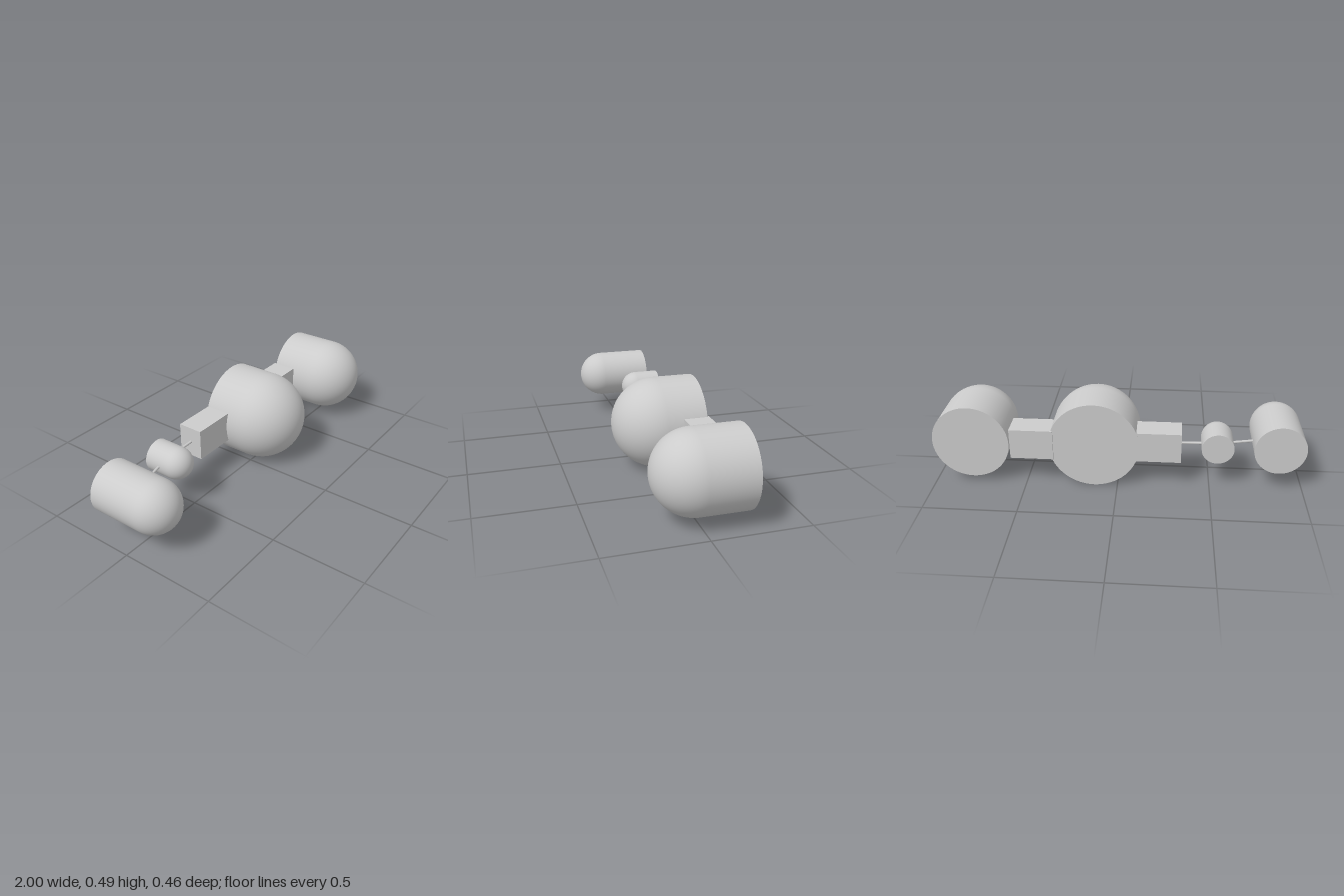
import * as THREE from 'three';

const AXIS_Y = 0.245;

export function createModel() {
  const group = new THREE.Group();
  const material = new THREE.MeshStandardMaterial({ color: 0xcccccc });

  const add = (name, geometry) => {
    const mesh = new THREE.Mesh(geometry, material);
    mesh.name = name;
    group.add(mesh);
    return mesh;
  };

  // Round-nosed tank: hemisphere facing +z, straight wall, flat back disc
  const addTank = (name, x, r, back, front) => {
    const centre = front - r;
    const tank = new THREE.Group();
    tank.name = name;
    const nose = new THREE.Mesh(
      new THREE.SphereGeometry(r, 64, 20, 0, Math.PI * 2, 0, Math.PI / 2), material);
    nose.name = name + 'Nose';
    const length = centre - back;
    const wall = new THREE.Mesh(new THREE.CylinderGeometry(r, r, length, 64, 1, true), material);
    wall.name = name + 'Wall';
    wall.position.y = -length / 2;
    const end = new THREE.Mesh(new THREE.CircleGeometry(r, 64), material);
    end.name = name + 'Back';
    end.rotation.x = Math.PI / 2;
    end.position.y = -length;
    tank.add(nose, wall, end);
    tank.rotation.x = Math.PI / 2;
    tank.position.set(x, AXIS_Y, centre);
    group.add(tank);
  };
  addTank('outerRightTank', -0.862, 0.138, -0.205, 0.21);
  addTank('smallTank', -0.533, 0.086, -0.21, 0.01);
  addTank('mainTank', 0.127, 0.243, -0.22, 0.232);
  addTank('leftTank', 0.791, 0.208, -0.231, 0.221);

  // Square connecting blocks
  const addBlock = (name, x0, x1, z0, z1) => {
    const block = add(name, new THREE.BoxGeometry(x1 - x0, 0.17, z1 - z0));
    block.position.set((x0 + x1) / 2, AXIS_Y, (z0 + z1) / 2);
  };
  addBlock('rightBlock', -0.34, -0.1, -0.219, -0.08);
  addBlock('leftBlock', 0.345, 0.578, -0.231, -0.092);

  // Thin linking rods
  const addRod = (name, x0, z0, x1, z1) => {
    const a = new THREE.Vector3(x0, AXIS_Y, z0);
    const b = new THREE.Vector3(x1, AXIS_Y, z1);
    const rod = add(name, new THREE.CylinderGeometry(0.007, 0.007, a.distanceTo(b), 16));
    rod.position.copy(a).lerp(b, 0.5);
    rod.quaternion.setFromUnitVectors(new THREE.Vector3(0, 1, 0), b.sub(a).normalize());
  };
  addRod('outerRod', -0.735, -0.098, -0.6, -0.129);
  addRod('innerRod', -0.46, -0.145, -0.335, -0.148);

  return group;
}
